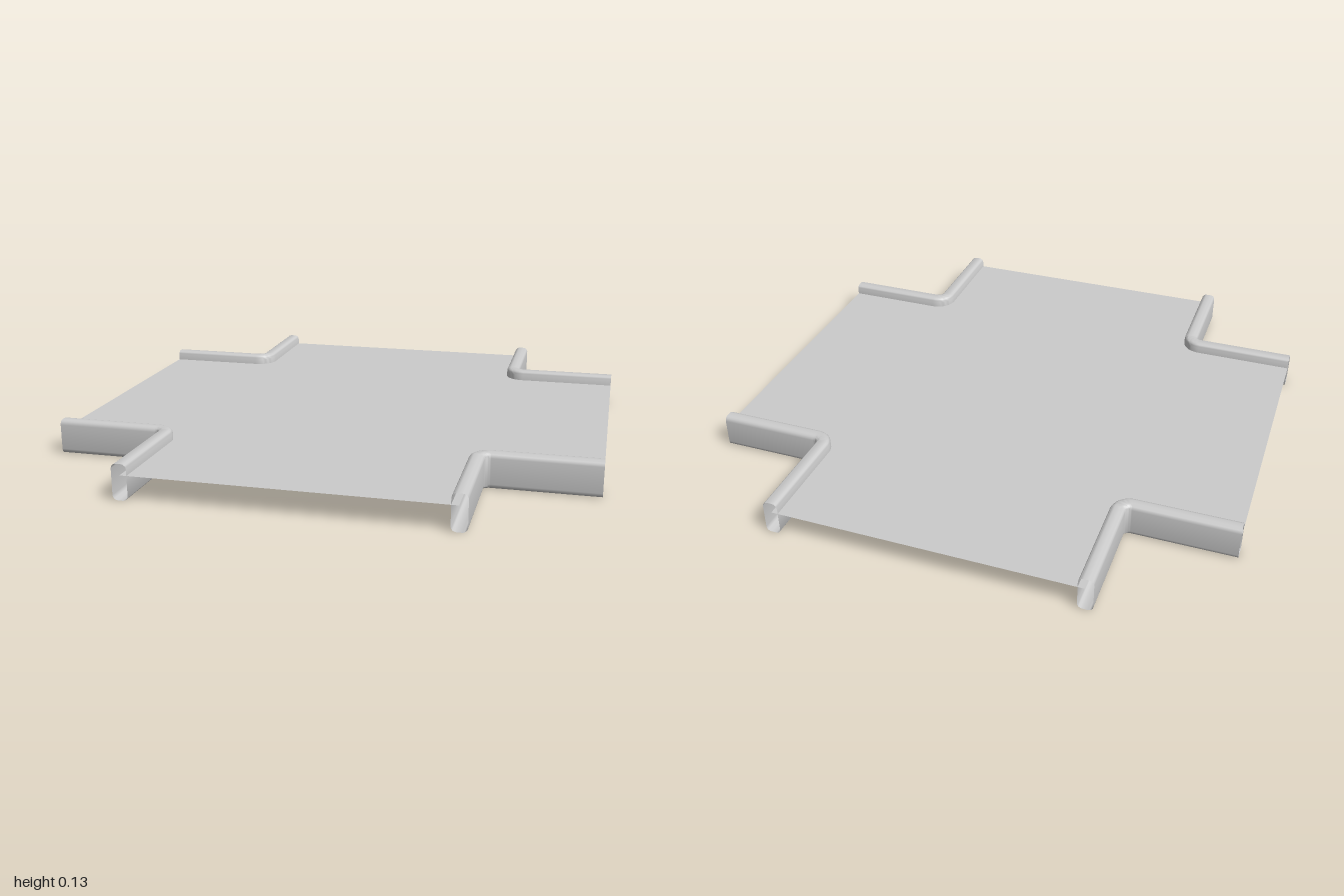
import * as THREE from 'three';
import { toCreasedNormals } from 'three/addons/utils/BufferGeometryUtils.js';

const material = new THREE.MeshStandardMaterial({ color: 0xcccccc, side: THREE.DoubleSide });

const RAIL_HEIGHT = 0.13, RAIL_WIDTH = 0.055, RAIL_MID = 0.5725;
const BEND = 0.62; // centre of the corner bend in x and z
const DECK_Y = 0.09;

// Rounded rectangle, centred on x, standing on y = 0
function railProfile(radius = 0.018, steps = 4) {
  const points = [];
  const cx = RAIL_WIDTH / 2 - radius, cy = RAIL_HEIGHT / 2 - radius;
  [[1, 1], [-1, 1], [-1, -1], [1, -1]].forEach(([sx, sy], corner) => {
    for (let i = 0; i <= steps; i++) {
      const a = (corner + i / steps) * Math.PI / 2;
      points.push([sx * cx + radius * Math.cos(a), RAIL_HEIGHT / 2 + sy * cy + radius * Math.sin(a)]);
    }
  });
  return points;
}

// Hollow, open-ended rail swept round one inside corner of the crossing
function railGeometry() {
  const profile = railProfile();
  const bendRadius = BEND - RAIL_MID, steps = 10;
  const stations = [{ x: 1, z: RAIL_MID, a: 0 }];
  for (let i = 0; i <= steps; i++) {
    const a = (i / steps) * Math.PI / 2;
    stations.push({ x: BEND - bendRadius * Math.sin(a), z: BEND - bendRadius * Math.cos(a), a });
  }
  stations.push({ x: RAIL_MID, z: 1, a: Math.PI / 2 });

  const positions = [], index = [], n = profile.length;
  for (const { x, z, a } of stations) {
    for (const [offset, y] of profile) {
      positions.push(x - offset * Math.sin(a), y, z - offset * Math.cos(a));
    }
  }
  for (let s = 0; s < stations.length - 1; s++) {
    for (let i = 0; i < n; i++) {
      const j = (i + 1) % n;
      const a = s * n + i, b = s * n + j, c = a + n, d = b + n;
      index.push(a, c, b, b, c, d);
    }
  }
  const geometry = new THREE.BufferGeometry();
  geometry.setAttribute('position', new THREE.Float32BufferAttribute(positions, 3));
  geometry.setIndex(index);
  return toCreasedNormals(geometry, 0.7);
}

// Thin cross-shaped sheet whose edges tuck into the rails
function deckGeometry() {
  const w = 0.57;
  const outline = [
    [1, -w], [1, w], [w, w], [w, 1], [-w, 1], [-w, w],
    [-1, w], [-1, -w], [-w, -w], [-w, -1], [w, -1], [w, -w],
  ].map(([x, y]) => new THREE.Vector2(x, y));
  return new THREE.ShapeGeometry(new THREE.Shape(outline)).rotateX(-Math.PI / 2);
}

export function createModel() {
  const model = new THREE.Group();
  model.name = 'crossing';
  const add = (name, geometry) => {
    const mesh = new THREE.Mesh(geometry, material);
    mesh.name = name;
    model.add(mesh);
    return mesh;
  };

  add('deck', deckGeometry()).position.y = DECK_Y;

  // One corner rail and one underside rib per quarter turn
  const rail = railGeometry();
  const rib = new THREE.BoxGeometry(1.12, 0.025, 0.01).translate(0, DECK_Y - 0.0135, BEND);
  for (let i = 0; i < 4; i++) {
    add('cornerRail', rail).rotation.y = i * Math.PI / 2;
    add('undersideRib', rib).rotation.y = i * Math.PI / 2;
  }
  return model;
}
